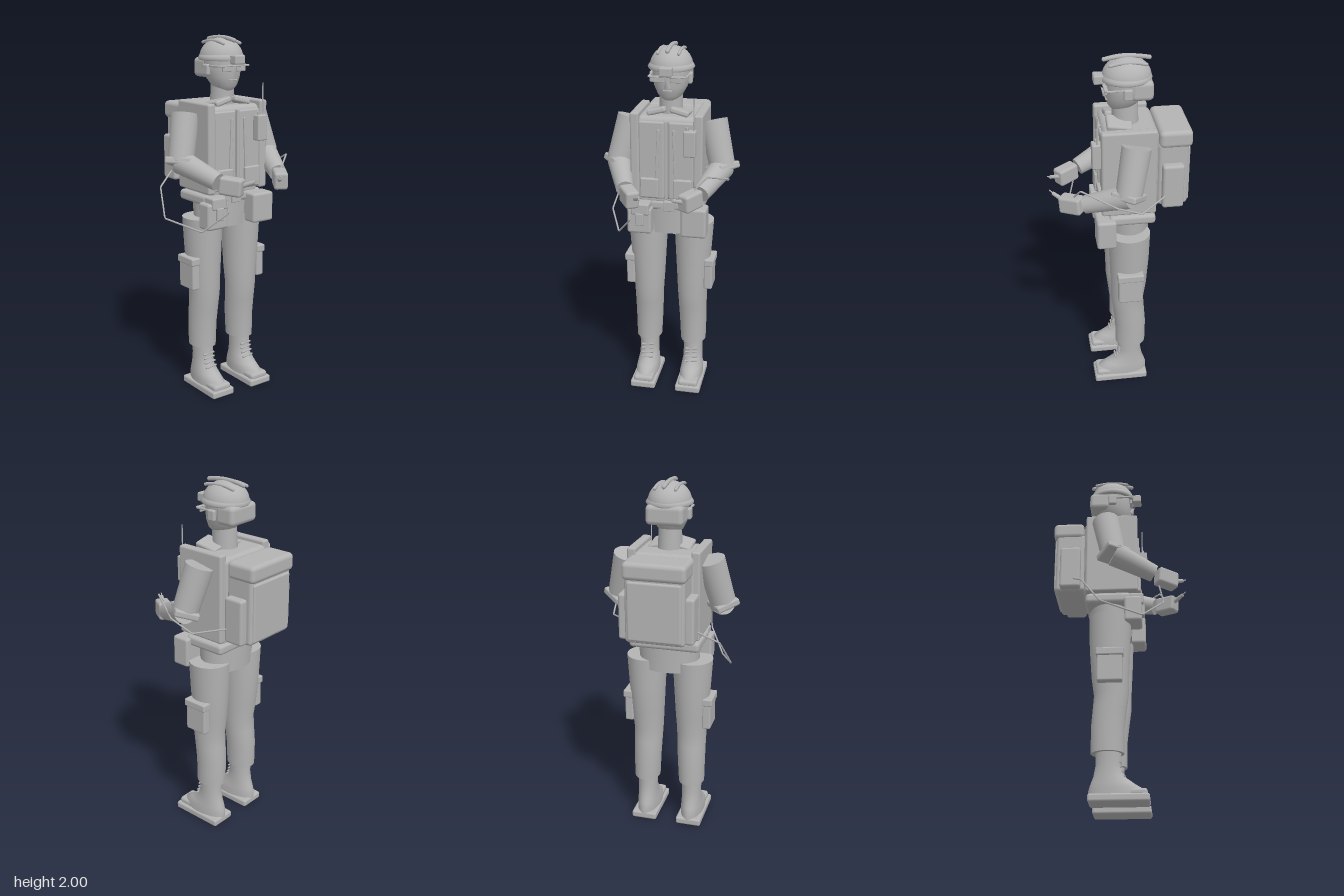
import * as THREE from 'three';
import { RoundedBoxGeometry } from 'three/addons/geometries/RoundedBoxGeometry.js';

const grey = new THREE.MeshStandardMaterial({ color: 0xb3b3b3 });
grey.name = 'plain grey';

const V = (x, y, z) => new THREE.Vector3(x, y, z);

function add(parent, name, geometry) {
  const mesh = new THREE.Mesh(geometry, grey);
  mesh.name = name;
  parent.add(mesh);
  return mesh;
}

// Rounded box given by its limits on each axis
function box(parent, name, [x0, x1], [y0, y1], [z0, z1], r = 0.01) {
  const w = Math.abs(x1 - x0), h = y1 - y0, d = z1 - z0;
  const mesh = add(parent, name, new RoundedBoxGeometry(w, h, d, 2, Math.min(r, w / 2.1, h / 2.1, d / 2.1)));
  mesh.position.set((x0 + x1) / 2, (y0 + y1) / 2, (z0 + z1) / 2);
  return mesh;
}

// Tapered rod from a to b
function rod(parent, name, a, b, ra, rb, sides = 24) {
  const mesh = add(parent, name, new THREE.CylinderGeometry(rb, ra, a.distanceTo(b), sides));
  mesh.position.copy(a).lerp(b, 0.5);
  mesh.quaternion.setFromUnitVectors(V(0, 1, 0), b.clone().sub(a).normalize());
  return mesh;
}

// Closed body from elliptical rings [y, centreX, centreZ, radiusX, radiusZ], bottom to top
function loft(parent, name, rings, sides = 24) {
  const pos = [], idx = [], n = rings.length;
  for (const [y, cx, cz, rx, rz] of rings)
    for (let i = 0; i < sides; i++) {
      const t = (i / sides) * Math.PI * 2;
      pos.push(cx + Math.sin(t) * rx, y, cz + Math.cos(t) * rz);
    }
  for (let k = 0; k < n - 1; k++)
    for (let i = 0; i < sides; i++) {
      const a = k * sides + i, b = k * sides + (i + 1) % sides;
      idx.push(a, b, b + sides, a, b + sides, a + sides);
    }
  // separate cap rings keep the rims sharp
  for (const [k, flip] of [[0, true], [n - 1, false]]) {
    const base = pos.length / 3;
    for (let i = 0; i < sides * 3; i++) pos.push(pos[k * sides * 3 + i]);
    for (let i = 1; i < sides - 1; i++)
      flip ? idx.push(base, base + i + 1, base + i) : idx.push(base, base + i, base + i + 1);
  }
  const g = new THREE.BufferGeometry();
  g.setAttribute('position', new THREE.Float32BufferAttribute(pos, 3));
  g.setIndex(idx);
  g.computeVertexNormals();
  return add(parent, name, g);
}

// Cable with straight runs between points
function cable(parent, name, points, r) {
  const path = new THREE.CurvePath();
  for (let i = 0; i < points.length - 1; i++) path.add(new THREE.LineCurve3(points[i], points[i + 1]));
  return add(parent, name, new THREE.TubeGeometry(path, 60, r, 6));
}

function buildHead(g) {
  loft(g, 'neck', [[1.6, 0, -0.045, 0.066, 0.07], [1.76, 0, -0.04, 0.06, 0.068]]);
  loft(g, 'head', [
    [1.71, 0, -0.02, 0.04, 0.05], [1.735, 0, -0.025, 0.066, 0.075], [1.78, 0, -0.04, 0.09, 0.1],
    [1.83, 0, -0.045, 0.1, 0.108], [1.89, 0, -0.05, 0.1, 0.11],
  ]);
  box(g, 'hair', [-0.1, 0.1], [1.775, 1.88], [-0.178, -0.06], 0.025);
  const nose = add(g, 'nose', new THREE.ConeGeometry(0.018, 0.05, 8));
  nose.position.set(0, 1.808, 0.07);
  nose.rotation.x = 0.55;
  box(g, 'mouth', [-0.025, 0.025], [1.762, 1.77], [0.045, 0.062], 0.003);
  box(g, 'glassesBridge', [-0.095, 0.095], [1.838, 1.846], [0.055, 0.075], 0.003);
  for (const s of [-1, 1]) {
    box(g, 'ear', [s * 0.09, s * 0.115], [1.79, 1.85], [-0.067, -0.02]);
    box(g, 'glassesLens', [s * 0.015, s * 0.075], [1.812, 1.84], [0.058, 0.07], 0.004);
    box(g, 'glassesArm', [s * 0.094, s * 0.104], [1.836, 1.846], [-0.04, 0.065], 0.003);
  }

  // Helmet
  const dome = add(g, 'helmetDome', new THREE.SphereGeometry(1, 32, 12, 0, Math.PI * 2, 0, Math.PI / 2));
  dome.scale.set(0.114, 0.105, 0.127);
  dome.position.set(0, 1.88, -0.05);
  loft(g, 'helmetBrim', [
    [1.868, 0, -0.048, 0.118, 0.129], [1.878, 0, -0.048, 0.125, 0.133],
    [1.89, 0, -0.048, 0.118, 0.129], [1.9, 0, -0.048, 0.11, 0.122],
  ], 32);
  box(g, 'headlamp', [-0.034, 0.034], [1.852, 1.9], [0.07, 0.122], 0.008);
  for (const [x, y, half, r] of [[0, 1.984, 0.115, 0.012], [-0.055, 1.968, 0.092, 0.009], [0.055, 1.968, 0.092, 0.009]]) {
    const curve = new THREE.QuadraticBezierCurve3(V(x, y - 0.01, -0.05 - half), V(x, y + 0.014, -0.05), V(x, y - 0.01, -0.05 + half));
    add(g, 'helmetRidge', new THREE.TubeGeometry(curve, 12, r, 8));
    for (const t of [0, 1]) add(g, 'ridgeEnd', new THREE.SphereGeometry(r, 8, 6)).position.copy(curve.getPoint(t));
  }
}

function buildTorso(g) {
  box(g, 'torso', [-0.17, 0.17], [1.17, 1.635], [-0.2, 0.09], 0.035);
  box(g, 'zip', [-0.008, 0.008], [1.18, 1.615], [0.08, 0.106], 0.004);
  for (const s of [-1, 1]) {
    box(g, 'vestSidePanel', [s * 0.147, s * 0.196], [1.17, 1.655], [-0.185, 0.105], 0.012);
    box(g, 'vestFrontPanel', [s * 0.012, s * 0.15], [1.18, 1.61], [0.07, 0.1], 0.01);
    box(g, 'vestPocket', [s * 0.04, s * 0.14], [1.19, 1.3], [0.09, 0.118], 0.008);
    const strip = box(g, 'vestStrip', [s * 0.04, s * 0.055], [1.25, 1.57], [0.09, 0.108], 0.004);
    strip.rotation.z = s * 0.04;
    const collar = box(g, 'collar', [s * 0.01, s * 0.115], [1.632, 1.664], [-0.07, 0.065], 0.012);
    collar.rotation.set(-0.15, 0, -s * 0.25);
  }
  // Radio
  box(g, 'radio', [0.1, 0.165], [1.44, 1.58], [0.1, 0.15], 0.008);
  rod(g, 'antenna', V(0.152, 1.57, 0.12), V(0.152, 1.75, 0.12), 0.004, 0.003, 8);
  rod(g, 'radioKnob', V(0.118, 1.57, 0.125), V(0.118, 1.595, 0.125), 0.008, 0.008, 10);

  // Belt, pelvis and pouches
  box(g, 'belt', [-0.195, 0.195], [1.1, 1.158], [-0.185, 0.065], 0.02);
  box(g, 'waist', [-0.165, 0.165], [1.14, 1.19], [-0.17, 0.06], 0.02);
  box(g, 'buckle', [-0.02, 0.04], [1.1, 1.158], [0.055, 0.08], 0.005);
  loft(g, 'pelvis', [[0.965, 0, -0.055, 0.165, 0.118], [1.12, 0, -0.055, 0.175, 0.122]], 32);
  box(g, 'leftPouch', [0.085, 0.225], [0.978, 1.145], [0.03, 0.135], 0.015);
  box(g, 'rightPouch', [-0.215, -0.08], [0.978, 1.125], [0.03, 0.125], 0.015);
  box(g, 'rightPouchFlap', [-0.19, -0.09], [1.09, 1.155], [0.03, 0.135], 0.01);
  box(g, 'rightPouchClip', [-0.165, -0.12], [1.03, 1.1], [0.11, 0.14], 0.005);
}

function buildBackpack(g) {
  box(g, 'backpackBody', [-0.16, 0.16], [1.195, 1.56], [-0.358, -0.195], 0.02);
  box(g, 'backpackLid', [-0.169, 0.169], [1.535, 1.63], [-0.375, -0.2], 0.025);
  box(g, 'backpackRearPanel', [-0.145, 0.145], [1.21, 1.53], [-0.368, -0.34], 0.012);
  for (const s of [-1, 1]) box(g, 'backpackSidePocket', [s * 0.15, s * 0.203], [1.2, 1.45], [-0.33, -0.215], 0.015);
  cable(g, 'rightCable', [
    V(-0.2, 1.25, -0.25), V(-0.31, 1.18, -0.195), V(-0.352, 1.03, -0.09),
    V(-0.26, 0.985, 0.13), V(-0.17, 1.1, 0.245), V(-0.17, 1.21, 0.22),
  ], 0.005);
  cable(g, 'leftCable', [
    V(0.2, 1.275, -0.23), V(0.31, 1.245, -0.09), V(0.33, 1.3, 0.04),
    V(0.24, 1.365, 0.22), V(0.18, 1.3, 0.25),
  ], 0.005);
}

function buildArm(g, s) {
  const shoulder = V(s * 0.225, 1.59, -0.07), elbow = V(s * 0.287, 1.345, -0.022);
  const wrist = V(s * 0.203, 1.262, 0.195), tip = V(s * 0.125, 1.24, 0.32);
  rod(g, 'upperArm', shoulder, elbow, 0.077, 0.07, 28);
  const pad = add(g, 'elbowPad', new RoundedBoxGeometry(0.145, 0.135, 0.04, 2, 0.012));
  pad.position.copy(elbow);
  pad.lookAt(elbow.clone().multiplyScalar(2).sub(shoulder));
  rod(g, 'forearm', elbow, wrist, 0.066, 0.048, 28);
  const hand = add(g, 'hand', new RoundedBoxGeometry(0.075, 0.095, 0.125, 2, 0.015));
  hand.position.set(s * 0.163, 1.246, 0.262);
  hand.lookAt(tip);
  rod(g, 'finger', V(s * 0.128, 1.25, 0.3), V(s * 0.085, 1.275, 0.355), 0.013, 0.01, 8);
  rod(g, 'fingerTip', V(s * 0.086, 1.274, 0.352), V(s * 0.072, 1.287, 0.372), 0.004, 0.003, 6);
}

function buildLeg(g, s) {
  loft(g, 'trouserLeg', [
    [0.26, s * 0.132, -0.06, 0.073, 0.086], [0.4, s * 0.13, -0.06, 0.078, 0.088],
    [0.5, s * 0.128, -0.05, 0.081, 0.09], [0.58, s * 0.127, -0.042, 0.084, 0.092],
    [0.68, s * 0.128, -0.048, 0.091, 0.1], [0.85, s * 0.13, -0.05, 0.102, 0.11], [1.02, s * 0.131, -0.05, 0.112, 0.115],
  ], 28);
  box(g, 'thighPocket', [s * 0.2, s * 0.248], [0.62, 0.79], [-0.113, 0.022], 0.01);
  box(g, 'thighPocketFlap', [s * 0.2, s * 0.256], [0.762, 0.805], [-0.118, 0.028], 0.008);

  // Boot
  loft(g, 'bootShaft', [
    [0.035, s * 0.132, -0.01, 0.066, 0.146], [0.07, s * 0.132, -0.012, 0.066, 0.144],
    [0.1, s * 0.132, -0.032, 0.062, 0.115], [0.14, s * 0.132, -0.052, 0.056, 0.08],
    [0.2, s * 0.132, -0.055, 0.055, 0.066], [0.275, s * 0.132, -0.056, 0.058, 0.067],
  ]);
  box(g, 'bootSole', [s * 0.06, s * 0.206], [0, 0.042], [-0.155, 0.155], 0.012);
  box(g, 'bootToeCap', [s * 0.075, s * 0.19], [0.03, 0.072], [0.04, 0.145], 0.018);
  for (const [y, z] of [[0.14, 0.036], [0.165, 0.025], [0.19, 0.017], [0.213, 0.014]])
    rod(g, 'bootLace', V(s * 0.132 - 0.035, y - 0.003, z - 0.008), V(s * 0.132 + 0.035, y + 0.003, z - 0.008), 0.006, 0.006, 6);
}

export function createModel() {
  const model = new THREE.Group();
  model.name = 'rescueWorker';
  const part = (name, build, side) => {
    const g = new THREE.Group();
    g.name = name;
    build(g, side);
    model.add(g);
  };
  part('headAndHelmet', buildHead);
  part('torsoAndVest', buildTorso);
  part('backpack', buildBackpack);
  for (const [name, s] of [['left', 1], ['right', -1]]) {
    part(name + 'Arm', buildArm, s);
    part(name + 'Leg', buildLeg, s);
  }
  return model;
}
